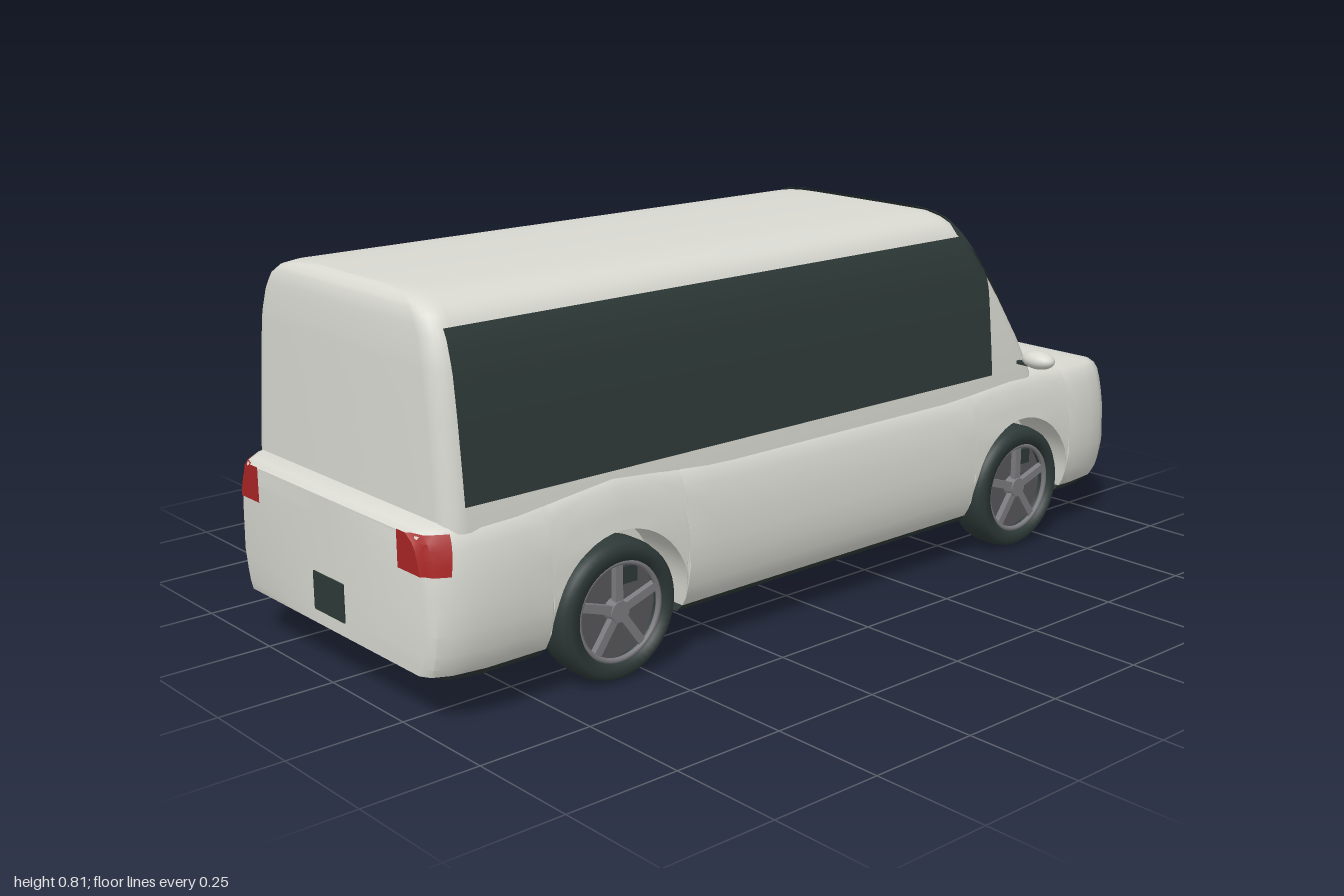
import * as THREE from 'three';
import { toCreasedNormals } from 'three/addons/utils/BufferGeometryUtils.js';

const makeMat = (name, color, side = THREE.DoubleSide) =>
  Object.assign(new THREE.MeshStandardMaterial({ color, side }), { name });

// Straight-line lookup in a table of [key, value] pairs
function lookup(table, k) {
  if (k <= table[0][0]) return table[0][1];
  for (let i = 1; i < table.length; i++) {
    const [k0, v0] = table[i - 1], [k1, v1] = table[i];
    if (k <= k1) return v0 + (v1 - v0) * (k - k0) / (k1 - k0);
  }
  return table[table.length - 1][1];
}

// Skin a grid of points; rows all have the same length
function skin(rows, crease = 0.6) {
  const n = rows[0].length, index = [];
  for (let i = 0; i < rows.length - 1; i++)
    for (let j = 0; j < n - 1; j++) {
      const a = i * n + j, b = a + n;
      index.push(a, b, a + 1, b, b + 1, a + 1);
    }
  const g = new THREE.BufferGeometry();
  g.setAttribute('position', new THREE.Float32BufferAttribute(rows.flat(2), 3));
  g.setIndex(index);
  return toCreasedNormals(g, crease);
}

const range = (n, a, b) => Array.from({ length: n + 1 }, (_, i) => a + (b - a) * i / n);

// ---- Lower body shape: cross-sections along x ----
const WHEELS = [-0.57, 0.64], AXLE = 0.145, ARCH = 0.17, SILL = 0.11, INNER = 0.27;
const sideProfile = [[0, 0.358], [0.08, 0.372], [0.3, 0.385], [0.6, 0.382], [0.8, 0.372],
  [0.92, 0.36], [0.97, 0.348], [1, 0.325]];
const endWidth = [[-0.997, 0.86], [-0.985, 0.92], [-0.95, 0.97], [-0.88, 1], [0.86, 1],
  [0.94, 0.975], [0.98, 0.92], [0.997, 0.86]];
const topLine = [[-0.997, 0.382], [-0.985, 0.392], [-0.95, 0.4], [-0.8, 0.405], [-0.57, 0.43],
  [-0.3, 0.406], [0.4, 0.406], [0.62, 0.42], [0.72, 0.418], [0.94, 0.402], [0.98, 0.393], [0.997, 0.378]];
const floorLine = [[-0.997, 0.11], [-0.95, 0.09], [-0.9, 0.085], [0.9, 0.085], [0.95, 0.09], [0.997, 0.11]];

const archEdge = x => {
  for (const c of WHEELS) {
    const d = Math.abs(x - c);
    if (d < ARCH + 1e-6) return AXLE + Math.sqrt(Math.max(0, ARCH * ARCH - d * d));
  }
  return SILL;
};
const bodyZ = (x, y) => lookup(endWidth, x) * lookup(sideProfile, (y - SILL) / (lookup(topLine, x) - SILL));

function bodySection(x) {
  const y0 = archEdge(x), top = lookup(topLine, x);
  const half = [0, 0.06, 0.15, 0.3, 0.45, 0.6, 0.75, 0.84, 0.92, 0.97, 1].map(u => {
    const y = y0 + (top - y0) * u;
    return [x, y, bodyZ(x, y)];
  });
  return [...half, [x, top, 0], ...half.map(([a, b, c]) => [a, b, -c]).reverse()];
}
const flatten = row => row.map(([x, y]) => [x, y, 0]);

const archStations = c => [c - ARCH - 0.003,
  ...range(24, Math.PI, 0).map(a => c + ARCH * Math.cos(a)), c + ARCH + 0.003];
const rearX = [-0.997, -0.992, -0.985, -0.97, -0.95, -0.915, -0.88, -0.8];
const midX = range(12, WHEELS[0] + ARCH + 0.003, WHEELS[1] - ARCH - 0.003);
const frontX = [0.84, 0.86, 0.9, 0.94, 0.96, 0.98, 0.99, 0.997];
const [rearArch, frontArch] = WHEELS.map(archStations);

// ---- Cabin shape: horizontal slices along y ----
const widthLine = [[0.38, 0.355], [0.42, 0.353], [0.5, 0.346], [0.6, 0.336], [0.68, 0.326], [0.74, 0.31],
  [0.775, 0.29], [0.793, 0.265], [0.803, 0.235], [0.81, 0.16]];
const frontLine = [[0.38, 0.735], [0.42, 0.712], [0.5, 0.672], [0.6, 0.612], [0.7, 0.548], [0.76, 0.511],
  [0.79, 0.492], [0.803, 0.479], [0.81, 0.45]];
const rearLine = [[0.38, -0.952], [0.7, -0.948], [0.77, -0.943], [0.795, -0.935], [0.81, -0.915]];
const CORNER = 0.045;
const cut = d => CORNER - Math.sqrt(Math.max(0, CORNER * CORNER - Math.max(0, d) ** 2));
const cabinZ = (x, y) => lookup(widthLine, y) - cut(x - (lookup(frontLine, y) - CORNER));
const cabinX = (z, y) => lookup(frontLine, y) - cut(Math.abs(z) - (lookup(widthLine, y) - CORNER));

function cabinSlice(y) {
  const w = lookup(widthLine, y), f = lookup(frontLine, y), b = lookup(rearLine, y), ring = [];
  for (const [x, z, a0] of [[f, w, 0], [b, w, 1], [b, -w, 2], [f, -w, 3]])
    for (const a of range(6, a0 * Math.PI / 2, (a0 + 1) * Math.PI / 2))
      ring.push([x - Math.sign(x) * CORNER + CORNER * Math.cos(a), y,
        z - Math.sign(z) * CORNER + CORNER * Math.sin(a)]);
  return [...ring, ring[0]].reverse();
}

export function createModel() {
  const model = new THREE.Group();
  model.name = 'van';
  const paint = makeMat('bodyPaint', 0xd9d9d2);
  const dark = makeMat('darkGlassAndRubber', 0x2e3a38);
  const red = makeMat('tailLightRed', 0xa82424);
  const metal = makeMat('rimMetal', 0x7c7c80);
  const disc = makeMat('wheelDisc', 0x58585c);
  const add = (name, geometry, material, parent = model) => {
    const m = new THREE.Mesh(geometry, material);
    m.name = name;
    parent.add(m);
    return m;
  };

  // Lower body shell with closed ends
  const shell = [...rearX, ...rearArch, ...midX.slice(1, -1), ...frontArch, ...frontX].map(bodySection);
  add('lowerBody', skin([flatten(shell[0]), ...shell, flatten(shell[shell.length - 1])]), paint);

  // Dark floor and sills
  const floorX = [...rearX, ...midX, ...frontX];
  const inner = x => INNER * lookup(endWidth, x);
  add('floor', skin(floorX.map(x => [-1, 1].map(s => [x, lookup(floorLine, x), s * inner(x)]))), dark);
  for (const s of [1, -1]) {
    const sideRow = pts => (s > 0 ? pts.reverse() : pts);
    for (const xs of [[...rearX, rearArch[0]], midX, [frontArch[frontArch.length - 1], ...frontX]])
      add('sill', skin(xs.map(x => {
        const z = bodyZ(x, SILL), f = lookup(floorLine, x);
        return sideRow([[x, SILL, s * z], [x, f + (SILL - f) * 0.3, s * z * 0.95], [x, f, s * inner(x)]].reverse());
      })), dark);

    // Wheel housings
    for (const xs of [rearArch, frontArch])
      add('wheelHousing', skin(xs.map(x => {
        const y = archEdge(x);
        return sideRow([[x, 0.085, s * INNER], [x, y, s * INNER], [x, y, s * bodyZ(x, y)]]);
      })), paint);

    // Side window, following the cabin side
    add('sideWindow', skin(range(16, 0.43, 0.755).map(y => {
      const end = Math.min(0.55, lookup(frontLine, y));
      const xs = [...range(8, -0.915, 0.4), ...range(14, 0.42, end)];
      return (s > 0 ? xs : xs.reverse()).map(x => [x, y, s * (cabinZ(x, y) + 0.004)]);
    }).reverse()), dark);

    // Tail light, wrapped around the rear corner
    add('tailLight', skin([-0.945, -0.96, -0.97, -0.985, -0.992, -0.997, -1].map((x, i) =>
      sideRow(range(5, 0.31, 0.385).map(y => {
        const xx = i < 2 ? x - (0.385 - y) * 0.15 : x;
        return [i === 5 ? -1 : xx, y, s * (i === 6 ? 0.255 : bodyZ(xx, Math.min(y, lookup(topLine, xx))) + 0.004)];
      }).reverse()))), red);

    // Mirror and its arm
    const mirror = add('mirror', new THREE.SphereGeometry(1, 24, 16), paint);
    mirror.scale.set(0.028, 0.021, 0.043);
    mirror.position.set(0.648, 0.46, s * 0.41);
    const arm = add('mirrorArm', new THREE.BoxGeometry(0.012, 0.008, 0.06), dark);
    arm.position.set(0.648, 0.445, s * 0.36);
  }

  // Cabin with closed roof
  const slices = [0.38, 0.42, 0.5, 0.6, 0.68, 0.7, 0.74, 0.76, 0.775, 0.785, 0.793, 0.803, 0.81].map(cabinSlice);
  add('cabin', skin([...slices, flatten(slices[slices.length - 1])].reverse(), 0.7), paint);

  // Windshield, reaching up to the roof edge
  add('windshield', skin([...range(14, 0.44, 0.78), 0.79, 0.797, 0.803, 0.808].map(y => {
    const m = Math.min(0.31, lookup(widthLine, y));
    return range(32, Math.PI / 2, -Math.PI / 2).map(a => {
      const z = m * Math.sin(a);
      return [Math.max(0.47, cabinX(z, y) + 0.004), y + 0.003, z * 1.008];
    });
  }).reverse()), dark);

  // Front grille panel and rear plate
  add('grillePanel', new THREE.BoxGeometry(0.006, 0.21, 0.214), dark).position.set(0.997, 0.255, -0.107);
  add('rearPlate', new THREE.BoxGeometry(0.006, 0.08, 0.11), dark).position.set(-0.997, 0.18, 0);

  // Wheels
  const tyreShape = [[0.1, -0.045], [0.13, -0.0475], [0.141, -0.037], [0.145, -0.018], [0.145, 0.018],
    [0.141, 0.037], [0.13, 0.0475], [0.106, 0.046], [0.102, 0.01]].map(p => new THREE.Vector2(...p));
  const tyre = new THREE.LatheGeometry(tyreShape, 48).rotateX(Math.PI / 2);
  const plate = new THREE.CylinderGeometry(0.103, 0.103, 0.06, 40).rotateX(Math.PI / 2);
  const hub = new THREE.CylinderGeometry(0.022, 0.026, 0.03, 24).rotateX(Math.PI / 2);
  const ring = new THREE.TorusGeometry(0.101, 0.006, 8, 48);
  const spoke = new THREE.BoxGeometry(0.018, 0.09, 0.014).translate(0, 0.055, 0);
  for (const x of WHEELS)
    for (const s of [1, -1]) {
      const wheel = new THREE.Group();
      wheel.name = 'wheel';
      wheel.position.set(x, AXLE, s * 0.3325);
      if (s < 0) wheel.rotation.y = Math.PI;
      add('tyre', tyre, dark, wheel);
      add('rimDisc', plate, disc, wheel).position.z = -0.012;
      add('rimRing', ring, metal, wheel).position.z = 0.036;
      add('hub', hub, metal, wheel).position.z = 0.026;
      for (let i = 0; i < 5; i++) {
        const m = add('spoke', spoke, metal, wheel);
        m.position.z = 0.031;
        m.rotation.z = i * Math.PI * 2 / 5;
      }
      add('brakeCaliper', new THREE.BoxGeometry(0.05, 0.035, 0.012), dark, wheel).position.set(s * 0.03, 0.066, 0.02);
      model.add(wheel);
    }
  return model;
}
